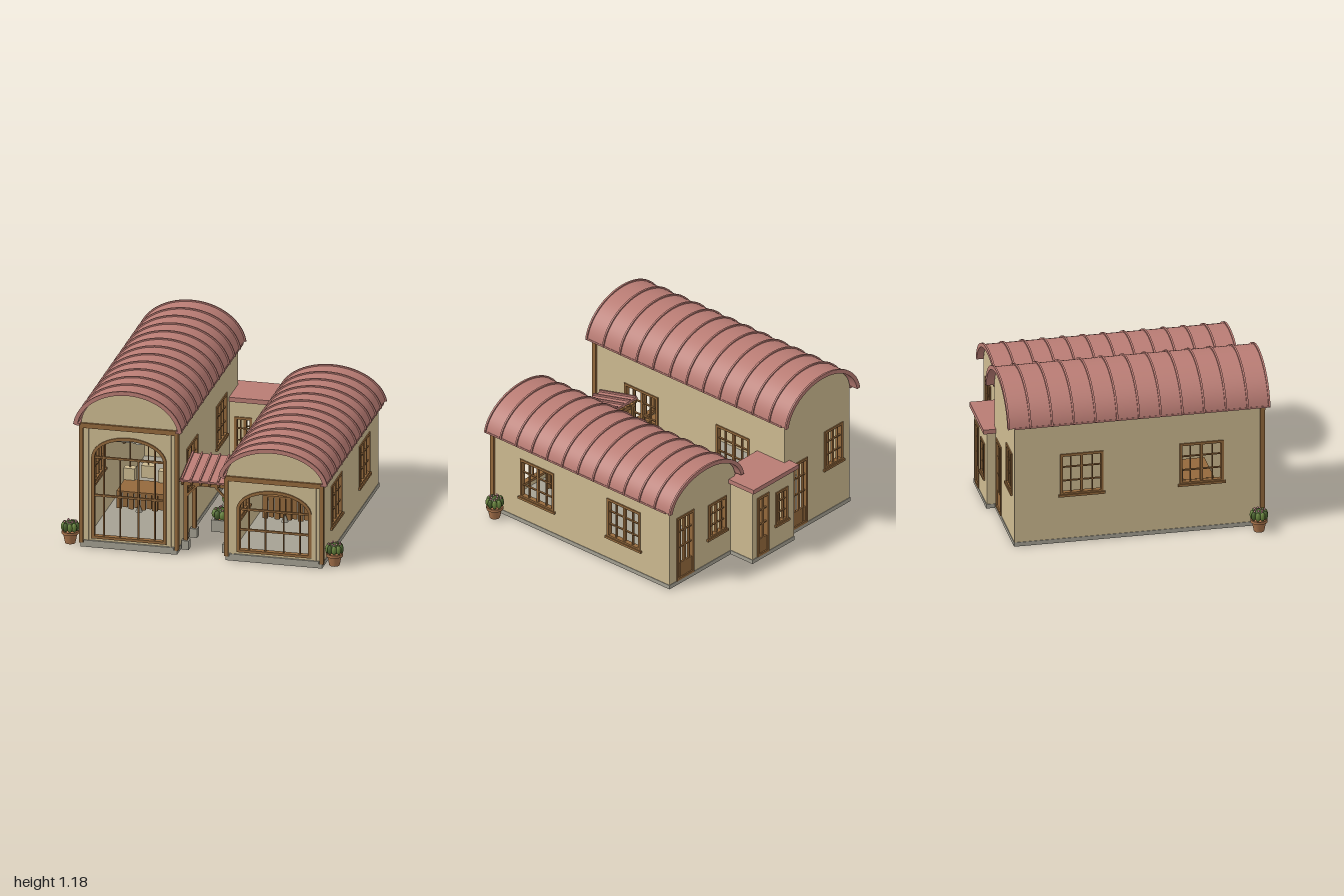
import * as THREE from 'three';
import { toCreasedNormals } from 'three/addons/utils/BufferGeometryUtils.js';

const flat = (color, side = THREE.FrontSide) => new THREE.MeshStandardMaterial({ color, side });

export function createModel() {
  const model = new THREE.Group();
  const mats = {
    roof: flat(0xb97c74), wall: flat(0xcebb91), wood: flat(0x94693c), stone: flat(0xa5a193),
    leaf: flat(0x66823c), darkLeaf: flat(0x48602c), clay: flat(0xa9744c), flower: flat(0xc58a90),
  };
  for (const [name, m] of Object.entries(mats)) m.name = name;

  const add = (parent, name, geo, mat, x = 0, y = 0, z = 0) => {
    const m = new THREE.Mesh(geo, mats[mat]);
    m.name = name;
    m.position.set(x, y, z);
    parent.add(m);
    return m;
  };
  // Box given by its limits on each axis
  const block = (parent, name, mat, x0, x1, y0, y1, z0, z1) =>
    add(parent, name, new THREE.BoxGeometry(x1 - x0, y1 - y0, z1 - z0), mat, (x0 + x1) / 2, (y0 + y1) / 2, (z0 + z1) / 2);
  const group = (parent, name, x = 0, y = 0, z = 0, ry = 0) => {
    const g = new THREE.Group();
    g.name = name;
    g.position.set(x, y, z);
    g.rotation.y = ry;
    parent.add(g);
    return g;
  };

  const rectPath = ([u0, u1, v0, v1], P = THREE.Path) =>
    new P([[u0, v0], [u1, v0], [u1, v1], [u0, v1]].map(p => new THREE.Vector2(...p)));
  const archPath = (hw, base, spring, rise, P = THREE.Path) => {
    const p = new P();
    p.moveTo(-hw, base).lineTo(hw, base).lineTo(hw, spring);
    p.absellipse(0, spring, hw, rise, 0, Math.PI, false);
    p.closePath();
    return p;
  };
  const extrude = (shape, depth) => toCreasedNormals(
    new THREE.ExtrudeGeometry(shape, { depth, bevelEnabled: false, curveSegments: 24 }), 0.5);
  const T = 0.02; // wall thickness
  const wallGeo = (rect, holes) => {
    const s = rectPath(rect, THREE.Shape);
    s.holes = holes;
    return extrude(s, T);
  };

  // Barred frame around an opening, standing proud of both wall faces
  function joinery(parent, name, [u0, u1, v0, v1], cols, rows, { sill = false, panel = 0 } = {}) {
    const g = group(parent, name), d = 0.018, b = 0.018;
    const bar = (n, a0, a1, b0, b1, dz) => block(g, n, 'wood', a0, a1, b0, b1, -dz, dz);
    bar('sideFrame', u0, u0 + b, v0, v1, d);
    bar('sideFrame', u1 - b, u1, v0, v1, d);
    bar('topFrame', u0, u1, v1 - b, v1, d);
    bar('bottomFrame', u0, u1, v0, v0 + b, d);
    if (sill) bar('sill', u0 - 0.012, u1 + 0.012, v0 - 0.012, v0 + 0.005, 0.026);
    if (panel) bar('kickPanel', u0, u1, v0, v0 + panel, 0.008);
    for (let i = 1; i < cols; i++) {
      const u = u0 + (u1 - u0) * i / cols, w = i * 2 === cols ? 0.009 : 0.004;
      bar('mullion', u - w, u + w, v0, v1, 0.009);
    }
    for (let j = 1; j < rows; j++) {
      const v = v0 + panel + (v1 - v0 - panel) * j / rows;
      bar('glazingBar', u0, u1, v - 0.004, v + 0.004, 0.007);
    }
    return g;
  }

  // Curved strip following the vault, used for the roof sheet and its ribs
  function vault(a, b, th, depth) {
    const s = new THREE.Shape(), n = 32, t0 = 0.12;
    const at = (i, k) => {
      const t = t0 + (Math.PI - 2 * t0) * i / n;
      return [(a - k) * Math.cos(t) / Math.cos(t0), (b - k) * (Math.sin(t) - Math.sin(t0)) / (1 - Math.sin(t0))];
    };
    for (let i = 0; i <= n; i++) i ? s.lineTo(...at(i, 0)) : s.moveTo(...at(i, 0));
    for (let i = n; i >= 0; i--) s.lineTo(...at(i, th));
    return extrude(s, depth);
  }

  function hall(o) {
    const g = group(model, o.name, o.x), { hw, h, z0, z1 } = o;
    block(g, 'plinth', 'stone', -hw - 0.004, hw + 0.004, 0, 0.03, z0 - 0.004, z1 + 0.01);
    block(g, 'frontStep', 'stone', -hw + 0.02, hw - 0.02, 0.005, 0.05, z1, z1 + 0.014);

    // Long side walls with two windows each
    for (const s of [-1, 1]) {
      const side = group(g, 'sideWall', s * (hw - T / 2), 0, 0, -Math.PI / 2);
      add(side, 'wall', wallGeo([z0, z1, 0.03, h], o.sideWindows.map(r => rectPath(r))), 'wall', 0, 0, -T / 2);
      for (const r of o.sideWindows) joinery(side, 'sideWindow', r, 4, 3, { sill: true });
    }
    // Rear wall with door and window
    const rear = group(g, 'rearWall', 0, 0, z0 + T / 2);
    add(rear, 'wall', wallGeo([-hw, hw, 0.03, h], [rectPath(o.door), rectPath(o.rearWindow)]), 'wall', 0, 0, -T / 2);
    joinery(rear, 'rearDoor', o.door, 4, 3, { panel: 0.13 });
    joinery(rear, 'rearWindow', o.rearWindow, 4, 3, { sill: true });

    // Front wall with arched glazing
    const front = group(g, 'frontWall', 0, 0, z1 - T / 2), aw = 0.262;
    add(front, 'wall', wallGeo([-hw, hw, 0.03, h], [archPath(aw, 0.07, o.spring, o.rise)]), 'wall', 0, 0, -T / 2);
    const ring = archPath(aw + 0.004, 0.066, o.spring, o.rise + 0.004, THREE.Shape);
    ring.holes = [archPath(aw - 0.018, 0.085, o.spring, o.rise - 0.018)];
    add(front, 'archFrame', extrude(ring, 0.04), 'wood', 0, 0, -0.02);
    for (const u of [-0.18, -0.065, 0.065, 0.18]) {
      const top = o.spring + (o.rise - 0.01) * Math.sqrt(1 - (u / aw) ** 2);
      block(front, 'archMullion', 'wood', u - 0.005, u + 0.005, 0.08, Math.abs(u) > 0.1 ? top : o.spring, -0.007, 0.007);
    }
    for (const v of o.rails) block(front, 'archRail', 'wood', -aw, aw, v - 0.007, v + 0.007, -0.008, 0.008);
    for (const s of [-1, 1]) {
      block(g, 'cornerPost', 'wood', s * hw - 0.014, s * hw + 0.014, 0.03, h, z1 - 0.02, z1 + 0.014);
      block(g, 'pilaster', 'wall', s * (hw - 0.046) - 0.008, s * (hw - 0.046) + 0.008, 0.05, h - 0.03, z1, z1 + 0.008);
    }
    block(g, 'frontBeam', 'wood', -hw - 0.012, hw + 0.012, h - 0.035, h, z1 - 0.01, z1 + 0.016);

    // Rounded gables and ribbed vault
    const gable = new THREE.Shape();
    gable.absellipse(0, 0, hw, o.roofRise - 0.025, 0, Math.PI, false);
    for (const z of [z0, z1 - T]) add(g, 'gable', extrude(gable, T), 'wall', 0, h, z);
    const roof = group(g, 'roof', 0, h, 0), [r0, r1] = o.roofZ;
    add(roof, 'roofSheet', vault(0.375, o.roofRise, 0.02, r1 - r0), 'roof', 0, 0, r0);
    for (let i = 0; i < 13; i++)
      add(roof, 'roofRib', vault(0.386, o.roofRise + 0.01, 0.024, 0.013), 'roof', 0, 0, r0 + (r1 - r0 - 0.013) * i / 12);
    for (const s of [-1, 1]) block(roof, 'eave', 'roof', s * 0.358 - 0.018, s * 0.358 + 0.018, -0.008, 0.006, r0 + 0.05, r1);

    // Slatted hanging racks with a lamp
    for (const [y0, y1] of o.racks) {
      const rack = group(g, 'hangingRack', 0, 0, 0.46);
      block(rack, 'rackTop', 'wood', -0.165, 0.165, y1 - 0.012, y1, -0.12, 0.12);
      for (let i = 0; i < 8; i++) {
        const u = -0.147 + i * 0.042;
        block(rack, 'rackSlat', 'wood', u - 0.018, u + 0.018, y0 + (i % 2) * 0.012, y1, 0.1, 0.115);
      }
      add(rack, 'lamp', new THREE.CylinderGeometry(0.008, 0.025, 0.045, 12), 'stone', 0, y0 + 0.02, 0.14);
    }
    return g;
  }

  const tall = hall({
    name: 'tallHall', x: -0.507, hw: 0.338, h: 0.91, z0: -0.86, z1: 0.885, spring: 0.66, rise: 0.16,
    rails: [0.38, 0.66], roofRise: 0.26, roofZ: [-0.915, 0.93], racks: [[0.18, 0.31], [0.68, 0.79]],
    sideWindows: [[-0.54, -0.235, 0.36, 0.67], [0.3, 0.61, 0.36, 0.67]],
    door: [0.1, 0.265, 0.03, 0.55], rearWindow: [-0.265, -0.075, 0.37, 0.67],
  });
  // Loft edge and pendants inside the tall hall
  block(tall, 'loftBeam', 'stone', -0.318, 0.318, 0.505, 0.535, 0.1, 0.16);
  for (const [u, w, y] of [[-0.13, 0.08, 0.35], [0, 0.09, 0.38], [0.11, 0.07, 0.35]]) {
    block(tall, 'pendantShade', 'wall', u - w / 2, u + w / 2, y - 0.045, y + 0.045, 0.3, 0.36);
    block(tall, 'pendantRod', 'wood', u - 0.004, u + 0.004, y, 0.68, 0.326, 0.334);
  }

  hall({
    name: 'lowHall', x: 0.527, hw: 0.338, h: 0.62, z0: -0.72, z1: 0.905, spring: 0.38, rise: 0.15,
    rails: [0.23, 0.38], roofRise: 0.225, roofZ: [-0.765, 0.945], racks: [[0.2, 0.37]],
    sideWindows: [[-0.455, -0.15, 0.2, 0.505], [0.34, 0.65, 0.2, 0.505]],
    door: [0.085, 0.265, 0.03, 0.53], rearWindow: [-0.25, -0.06, 0.22, 0.49],
  });

  // Flat-roofed link room at the back
  const link = group(model, 'linkRoom');
  block(link, 'plinth', 'stone', -0.204, 0.234, 0, 0.03, -0.924, -0.62);
  block(link, 'flatRoof', 'roof', -0.22, 0.25, 0.572, 0.605, -0.948, -0.61);
  for (const x of [-0.2, 0.21]) block(link, 'sideWall', 'wall', x, x + T, 0.03, 0.575, -0.92, -0.63);
  const linkDoor = [0.06, 0.18, 0.03, 0.5], linkWindow = [-0.135, -0.01, 0.2, 0.46];
  for (const z of [-0.91, -0.64]) {
    const w = group(link, 'endWall', 0, 0, z);
    add(w, 'wall', wallGeo([-0.2, 0.23, 0.03, 0.575], [rectPath(linkDoor), rectPath(linkWindow)]), 'wall', 0, 0, -T / 2);
    joinery(w, 'linkDoor', linkDoor, 2, 3, { panel: 0.13 });
    joinery(w, 'linkWindow', linkWindow, 3, 3, { sill: true });
  }

  // Sloping entrance canopy on braced posts
  const canopy = group(model, 'canopy');
  const slope = group(canopy, 'canopyRoof', 0.01, 0.55, 0.65);
  slope.rotation.x = 0.24;
  block(slope, 'canopySheet', 'roof', -0.175, 0.175, 0, 0.015, -0.17, 0.17);
  for (let i = 0; i < 6; i++) {
    const x = -0.16 + i * 0.064;
    block(slope, 'canopySeam', 'roof', x - 0.006, x + 0.006, 0.015, 0.028, -0.172, 0.172);
    block(slope, 'rafter', 'wood', x - 0.007, x + 0.007, -0.025, 0, -0.165, 0.165);
  }
  for (const z of [0.52, 0.76]) {
    const top = z > 0.6 ? 0.5 : 0.55;
    block(canopy, 'crossBeam', 'wood', -0.165, 0.185, top - 0.03, top, z - 0.012, z + 0.012);
    for (const s of [-1, 1]) {
      const x = 0.01 + s * 0.145;
      block(canopy, 'postBase', 'stone', x - 0.026, x + 0.026, 0, 0.065, z - 0.026, z + 0.026);
      block(canopy, 'post', 'wood', x - 0.014, x + 0.014, 0.06, top, z - 0.014, z + 0.014);
      const brace = add(canopy, 'brace', new THREE.BoxGeometry(0.014, 0.13, 0.014), 'wood', x - s * 0.042, top - 0.07, z);
      brace.rotation.z = s * 0.75;
    }
  }

  // Lobed shrub with small blossoms
  const ball = new THREE.IcosahedronGeometry(1, 1);
  function shrub(parent, y, r, stretch = 1) {
    const g = group(parent, 'shrub', 0, y, 0);
    g.scale.z = stretch;
    add(g, 'shrubCore', ball, 'darkLeaf', 0, 0.035, 0).scale.set(r * 0.75, 0.04, r * 0.75);
    for (let i = 0; i < 9; i++) {
      const a = i * Math.PI * 2 / 9, c = Math.cos(a), s = Math.sin(a);
      add(g, 'shrubLobe', ball, i % 3 ? 'leaf' : 'darkLeaf', c * r * 0.72, 0.034, s * r * 0.72).scale.set(r * 0.28, 0.034, r * 0.28);
      const k = i % 2 ? 0.35 : 0.62;
      add(g, 'blossom', ball, 'flower', c * r * k, 0.068, s * r * k).scale.setScalar(0.008);
    }
  }

  // Round clay pots beside the outer corners
  const potProfile = [[0, 0], [0.036, 0], [0.05, 0.068], [0.059, 0.068], [0.059, 0.088], [0.05, 0.088], [0.047, 0.078], [0, 0.078]]
    .map(p => new THREE.Vector2(...p));
  const potGeo = toCreasedNormals(new THREE.LatheGeometry(potProfile, 20), 0.5);
  for (const [x, z] of [[-0.935, 0.84], [0.935, 0.825]]) {
    const pot = group(model, 'pottedShrub', x, 0, z);
    add(pot, 'pot', potGeo, 'clay');
    shrub(pot, 0.088, 0.065);
  }

  // Courtyard planters and stepping stones
  for (const z of [-0.3, 0, 0.3]) {
    const p = group(model, 'planter', 0.015, 0, z);
    const rim = rectPath([-0.06, 0.06, -0.1, 0.1], THREE.Shape);
    rim.holes = [rectPath([-0.045, 0.045, -0.085, 0.085])];
    add(p, 'planterWall', extrude(rim, 0.085).rotateX(-Math.PI / 2), 'stone');
    block(p, 'soil', 'clay', -0.046, 0.046, 0.005, 0.07, -0.086, 0.086);
    shrub(p, 0.07, 0.08);
  }
  for (let i = 0; i < 7; i++)
    block(model, 'steppingStone', 'stone', 0.1, 0.19, 0, 0.015, -0.555 + i * 0.168, -0.445 + i * 0.168);

  return model;
}
